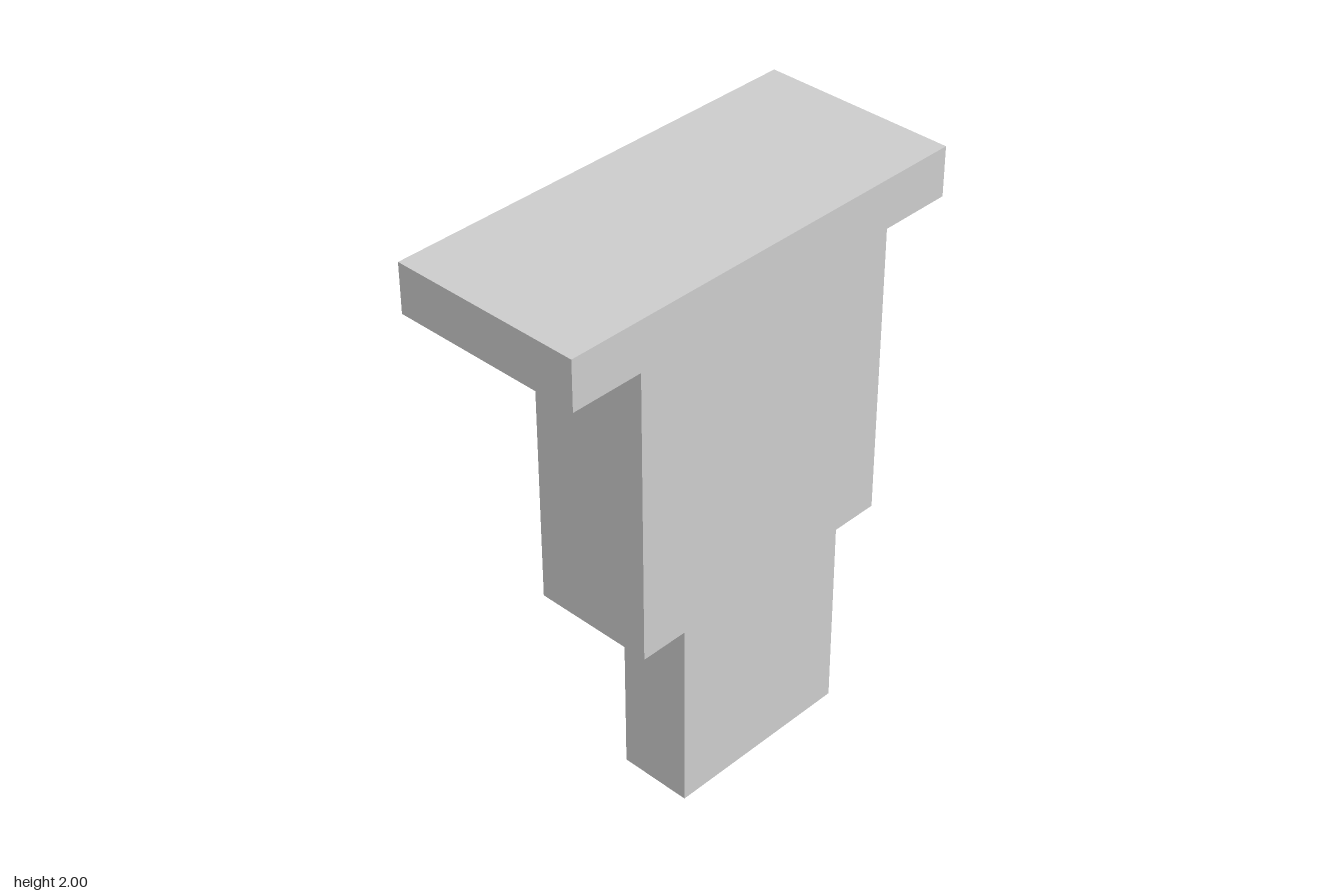
import * as THREE from 'three';

const U = 1 / 11; // module size: the whole bracket is 22 modules tall
const FRONT = 4 * U; // every tier is flush with this front plane

// name, width, height, depth in modules, from the bottom up
const TIERS = [
  ['lowerBlock', 8, 8, 3],
  ['middleBlock', 12, 12, 5],
  ['topSlab', 18, 2, 8],
];

export function createModel() {
  const model = new THREE.Group();
  model.name = 'steppedBracket';
  const material = new THREE.MeshStandardMaterial({ color: 0xcccccc });

  // Stack the tiers, each stepping out to the sides and the back
  let y = 0;
  for (const [name, w, h, d] of TIERS) {
    const tier = new THREE.Mesh(new THREE.BoxGeometry(w * U, h * U, d * U), material);
    tier.name = name;
    tier.position.set(0, y + (h * U) / 2, FRONT - (d * U) / 2);
    model.add(tier);
    y += h * U;
  }
  return model;
}
